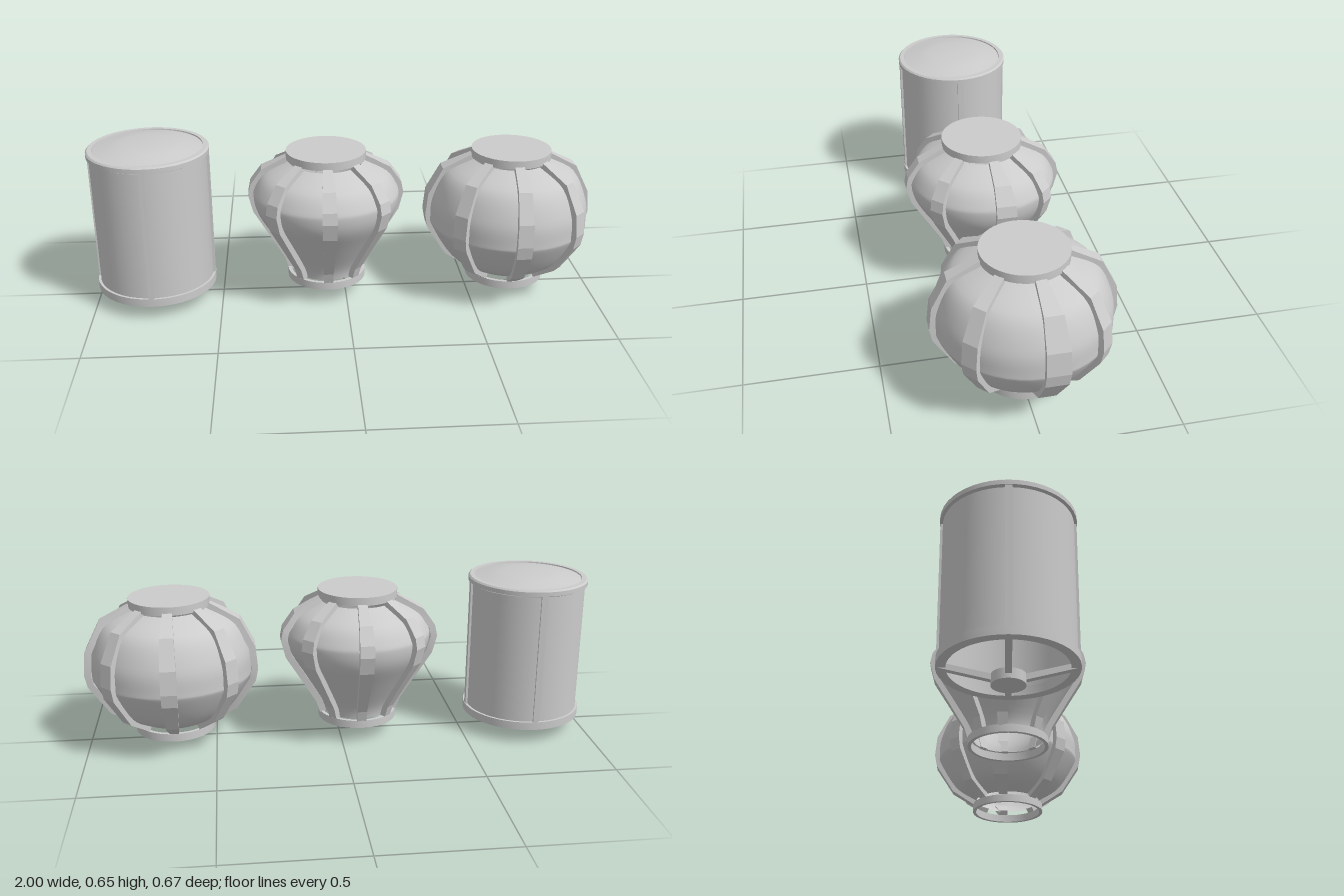
import * as THREE from 'three';
import { toCreasedNormals } from 'three/addons/utils/BufferGeometryUtils.js';

const material = new THREE.MeshStandardMaterial({ color: 0xcccccc, side: THREE.DoubleSide });

function add(parent, name, geometry) {
  const mesh = new THREE.Mesh(geometry, material);
  mesh.name = name;
  parent.add(mesh);
  return mesh;
}

// Turned part from [radius, y] pairs, listed bottom to top on the outside
function turned(points, crease = 0.5, segments = 48) {
  const profile = points.map(([r, y]) => new THREE.Vector2(r, y));
  return toCreasedNormals(new THREE.LatheGeometry(profile, segments), crease);
}

const ring = (inner, outer, y0, y1) =>
  turned([[inner, y0], [outer, y0], [outer, y1], [inner, y1], [inner, y0]]);

// Strip of rectangular section bent along a [radius, y] profile, facing +x.
// lo and hi are the sideways limits as functions of the radius.
function ribGeometry(profile, thickness, lo, hi) {
  const pos = [], idx = [];
  profile.forEach(([r, y], i) => {
    const a = profile[Math.max(i - 1, 0)], b = profile[Math.min(i + 1, profile.length - 1)];
    const t = new THREE.Vector2(b[0] - a[0], b[1] - a[1]).normalize();
    const ri = r - t.y * thickness, yi = y + t.x * thickness;
    const z0 = lo(r), z1 = hi(r);
    pos.push(r, y, z0, r, y, z1, ri, yi, z1, ri, yi, z0);
    if (i === 0) return;
    for (let k = 0; k < 4; k++) {
      const p = (i - 1) * 4 + k, q = (i - 1) * 4 + (k + 1) % 4;
      idx.push(p, p + 4, q + 4, p, q + 4, q);
    }
  });
  const e = (profile.length - 1) * 4;
  idx.push(0, 1, 2, 0, 2, 3, e, e + 2, e + 1, e, e + 3, e + 2);
  const g = new THREE.BufferGeometry();
  g.setAttribute('position', new THREE.Float32BufferAttribute(pos, 3));
  g.setIndex(idx);
  return toCreasedNormals(g, 0.15);
}

// Bulging lantern with eight ribs, a closed cap and an open foot ring
function bulgingLantern(name, x, profile, foot, cap) {
  const lantern = new THREE.Group();
  lantern.name = name;
  lantern.position.x = x;

  const curve = new THREE.SplineCurve(profile.map(([r, y]) => new THREE.Vector2(r, y)));
  const shell = curve.getPoints(28).map((p, i) => {
    const t = curve.getTangent(i / 28);
    return new THREE.Vector2(p.x - t.y * 0.021, p.y + t.x * 0.021);
  });
  add(lantern, 'paperShade', new THREE.LatheGeometry(shell, 48));

  const grow = (r, end, mid) => THREE.MathUtils.mapLinear(r, 0.155, 0.335, end, mid);
  const narrow = ribGeometry(profile, 0.026, r => -grow(r, 0.018, 0.03), r => grow(r, 0.018, 0.03));
  // Side ribs are wider and lie behind the centre line
  const wide = ribGeometry(profile, 0.026, r => -grow(r, 0.038, 0.085), () => 0);
  const wideMirrored = ribGeometry(profile, 0.026, () => 0, r => grow(r, 0.038, 0.085));
  for (let i = 0; i < 8; i++) {
    const geometry = i === 0 ? wide : i === 4 ? wideMirrored : narrow;
    add(lantern, 'rib', geometry).rotation.y = i * Math.PI / 4;
  }

  add(lantern, 'footRing', ring(0.143, 0.157, ...foot));
  add(lantern, 'cap', turned([[0, cap[0]], [0.157, cap[0]], [0.157, cap[1]], [0, cap[1]]]));
  return lantern;
}

// Straight lantern with posts, a domed lid and a spoked base
function cylinderLantern(x) {
  const lantern = new THREE.Group();
  lantern.name = 'cylinderLantern';
  lantern.position.x = x;

  add(lantern, 'shade', new THREE.CylinderGeometry(0.226, 0.226, 0.535, 48, 1, true)).position.y = 0.3375;
  add(lantern, 'baseRing', ring(0.203, 0.236, 0.058, 0.09));
  add(lantern, 'lid', turned([
    [0, 0.61], [0.236, 0.61], [0.236, 0.627], [0.23, 0.633], [0.212, 0.633], [0.211, 0.628],
  ]));
  add(lantern, 'lidDome', turned([[0.212, 0.628], [0.178, 0.635], [0.14, 0.644], [0.1, 0.65], [0, 0.651]]));
  add(lantern, 'hub', new THREE.CylinderGeometry(0.058, 0.058, 0.037, 24)).position.y = 0.0185;

  const spokeShape = new THREE.Shape([
    [0.04, 0.012], [0.226, 0.058], [0.21, 0.075], [0.04, 0.034],
  ].map(p => new THREE.Vector2(...p)));
  const spoke = new THREE.ExtrudeGeometry(spokeShape, { depth: 0.022, bevelEnabled: false });
  spoke.translate(0, 0, -0.011);
  const post = new THREE.BoxGeometry(0.02, 0.522, 0.024);
  post.translate(0.224, 0.349, 0);
  for (let i = 0; i < 4; i++) {
    add(lantern, 'spoke', spoke).rotation.y = i * Math.PI / 2;
    add(lantern, 'post', post).rotation.y = i * Math.PI / 2;
  }
  return lantern;
}

export function createModel() {
  const model = new THREE.Group();
  model.name = 'lanternSet';
  model.add(cylinderLantern(-0.764));
  model.add(bulgingLantern('taperedLantern', -0.075, [
    [0.155, 0.092], [0.17, 0.14], [0.235, 0.25], [0.292, 0.345],
    [0.31, 0.415], [0.301, 0.46], [0.255, 0.525], [0.155, 0.578],
  ], [0.066, 0.097], [0.573, 0.605]));
  model.add(bulgingLantern('roundLantern', 0.662, [
    [0.155, 0.077], [0.248, 0.137], [0.325, 0.258],
    [0.335, 0.31], [0.326, 0.4], [0.27, 0.51], [0.155, 0.57],
  ], [0.045, 0.077], [0.56, 0.593]));
  return model;
}
